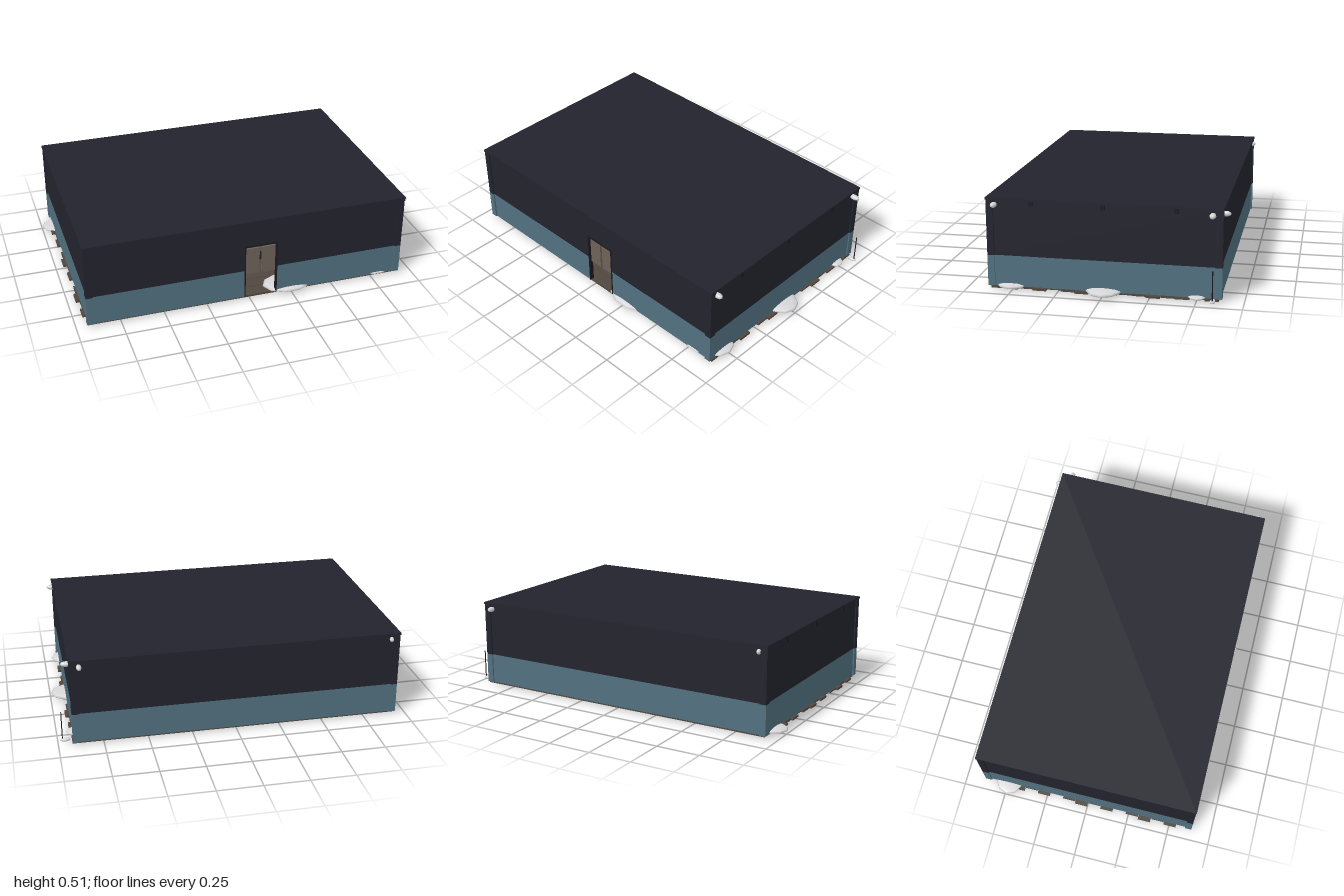
import * as THREE from 'three';

const paint = (name, color) => Object.assign(new THREE.MeshStandardMaterial({ color }), { name });

export function createModel() {
  const navy = paint('navy wall', 0x23232e);
  const blue = paint('slate blue wainscot', 0x527080);
  const wood = paint('dark floor wood', 0x50473f);
  const brown = paint('door brown', 0x6e6259);
  const snow = paint('pale snow', 0xd6d6d8);
  const black = paint('black metal', 0x1a1a20);

  const model = new THREE.Group();
  const add = (name, geo, mat, x, y, z, parent = model) => {
    const m = new THREE.Mesh(geo, mat);
    m.name = name;
    m.position.set(x, y, z);
    parent.add(m);
    return m;
  };
  // Box given by its lower and upper corners
  const box = (name, mat, x0, x1, y0, y1, z0, z1, parent) =>
    add(name, new THREE.BoxGeometry(x1 - x0, y1 - y0, z1 - z0), mat,
      (x0 + x1) / 2, (y0 + y1) / 2, (z0 + z1) / 2, parent);

  const L = -0.94, R = 0.92, Z = 0.635, T = 0.02, IN = 0.008;
  const base = 0.022, split = 0.195, top = 0.503;
  const bands = [['lower', blue, base, split], ['upper', navy, split, top]];

  // Roof slab
  box('roof', navy, L - 0.003, R + 0.003, top, 0.515, -Z - 0.003, Z + 0.003);

  // Two-tone walls and corner posts
  const doorL = -0.03, doorR = 0.155, doorTop = 0.352;
  for (const [band, mat, y0, y1] of bands) {
    const zi = Z - IN;
    box(band + 'BackWall', mat, L + IN, R - IN, y0, y1, -zi, -zi + T);
    box(band + 'LeftWall', mat, L + IN, L + IN + T, y0, y1, -zi + T, zi - T);
    box(band + 'RightWall', mat, R - IN - T, R - IN, y0, y1, -zi + T, zi - T);
    box(band + 'FrontWallLeft', mat, doorR, R - IN, y0, y1, zi - T, zi);
    box(band + 'FrontWallRight', mat, L + IN, doorL, y0, y1, zi - T, zi);
    for (const x of [L, R - 0.038])
      for (const z of [-Z, Z - 0.038])
        box(band + 'CornerPost', mat, x, x + 0.038, y0, y1, z, z + 0.038);
  }
  box('lintel', navy, doorL, doorR, doorTop, top, Z - IN - T, Z - IN);

  // Door frame and hanging half doors
  const door = new THREE.Group();
  door.name = 'doorway';
  model.add(door);
  for (const x of [doorL - 0.004, doorR - 0.002])
    box('doorJamb', black, x, x + 0.006, base, doorTop, Z - 0.03, Z - 0.004, door);
  box('doorHead', black, doorL, doorR, doorTop - 0.006, doorTop + 0.004, Z - 0.03, Z - 0.004, door);
  for (const [x0, x1] of [[-0.024, 0.056], [0.07, 0.149]])
    box('halfDoor', brown, x0, x1, 0.165, 0.33, Z - 0.026, Z - 0.016, door);

  // Table and stool just inside
  for (const [name, x, h, r, z] of [['table', 0.108, 0.14, 0.05, 0.4], ['stool', 0.02, 0.09, 0.02, 0.45]]) {
    add(name + 'Stem', new THREE.CylinderGeometry(0.006, 0.006, h - base, 8), black, x, (h + base) / 2, z);
    add(name + 'Top', new THREE.CylinderGeometry(r, r, 0.008, 16), black, x, h, z);
  }

  // Floor planks with ragged ends
  const count = 16, pitch = (2 * Z - 0.03) / count;
  for (let i = 0; i < count; i++) {
    const z = -Z + 0.015 + i * pitch;
    const a = (i * 7) % 5, b = (i * 3 + 2) % 5;
    box('floorPlank', wood, L + 0.012 - a * 0.007, R - 0.012 + b * 0.007,
      0.011 + (i % 3) * 0.0015, 0.024, z + 0.0015, z + pitch - 0.0015);
  }

  // Joist ends under the eaves
  for (const z of [-0.39, 0, 0.39]) {
    box('joistEnd', black, R - 0.02, R - 0.002, 0.475, top, z - 0.012, z + 0.012);
    box('joistEnd', black, L + 0.002, L + 0.02, 0.475, top, z - 0.012, z + 0.012);
  }

  // Low snow drifts around the base
  const drift = new THREE.SphereGeometry(1, 10, 8);
  for (const [x, z, rx, ry, rz] of [
    [0.25, 0.56, 0.15, 0.02, 0.1], [0.86, 0.51, 0.095, 0.019, 0.095],
    [0.88, 0, 0.118, 0.02, 0.1], [0.89, -0.5, 0.06, 0.013, 0.05],
    [-0.9, -0.49, 0.1, 0.016, 0.085], [0.79, 0.57, 0.1, 0.014, 0.068],
  ]) add('snowDrift', drift, snow, x, 0.005 + ry + (ry < 0.015 ? 0.007 : 0), z).scale.set(rx, ry, rz);

  // Snow clumps under the roof corners
  const clump = new THREE.SphereGeometry(1, 8, 6);
  for (const [x, z, rx, rz] of [
    [0.925, 0.59, 0.03, 0.018], [0.93, -0.58, 0.034, 0.018],
    [0.868, -0.64, 0.015, 0.03], [-0.89, -0.632, 0.012, 0.018],
  ]) add('snowClump', clump, snow, x, 0.477, z).scale.set(rx, 0.015, rz);

  // Thin stake beside the back corner
  add('stake', new THREE.CylinderGeometry(0.003, 0.003, 0.165, 6), black, 0.975, 0.113, -0.59);
  add('stakeSnow', clump, snow, 0.96, 0.026, -0.59).scale.set(0.03, 0.01, 0.015);

  return model;
}
